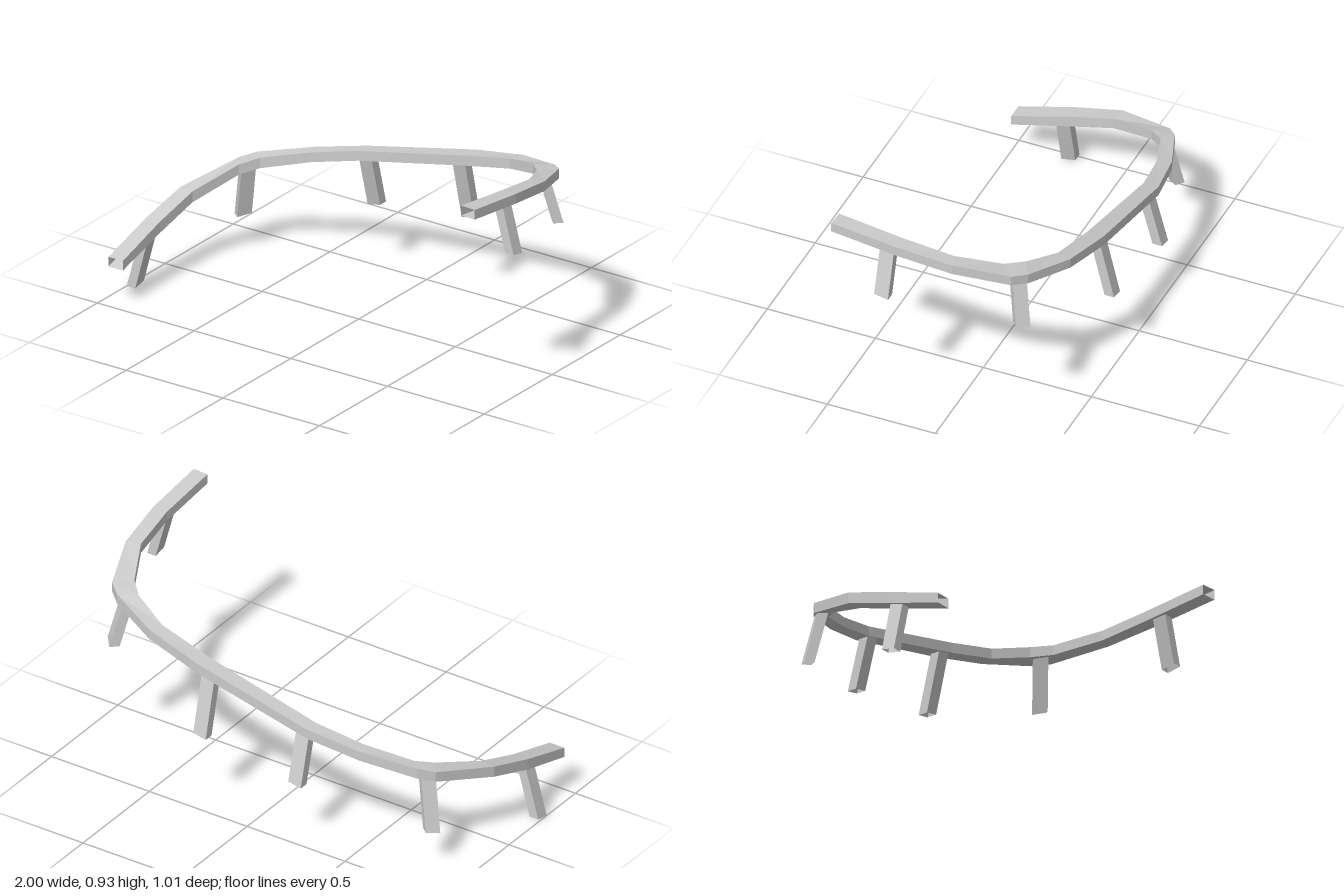
import * as THREE from 'three';

const material = new THREE.MeshStandardMaterial({ color: 0xcccccc, flatShading: true, side: THREE.DoubleSide });

// Open tube skinned through a list of four-cornered rings
function loft(name, rings) {
  const pos = [];
  for (let i = 0; i < rings.length - 1; i++) {
    for (let k = 0; k < 4; k++) {
      const n = (k + 1) % 4;
      const a = rings[i][k], b = rings[i][n], c = rings[i + 1][n], d = rings[i + 1][k];
      pos.push(...b, ...c, ...d, ...b, ...d, ...a);
    }
  }
  const geometry = new THREE.BufferGeometry();
  geometry.setAttribute('position', new THREE.Float32BufferAttribute(pos, 3));
  geometry.computeVertexNormals();
  const mesh = new THREE.Mesh(geometry, material);
  mesh.name = name;
  return mesh;
}

// Leg leaning from its foot to the rail; angle is the heading of the rail, rising by 0.2
function leg(name, foot, top, angle, width = 0.064, depth = 0.044) {
  const tx = Math.cos(angle) * width / 2, tz = Math.sin(angle) * width / 2;
  const nx = Math.sin(angle) * depth / 2, nz = -Math.cos(angle) * depth / 2;
  const ring = ([x, y, z]) => [[1, 1], [-1, 1], [-1, -1], [1, -1]].map(([s, t]) =>
    [x + s * tx + t * nx, y + s * 0.2 * width / 2, z + s * tz + t * nz]);
  return loft(name, [ring(foot), ring(top)]);
}

export function createModel() {
  const group = new THREE.Group();
  group.name = 'curvedRail';

  // Rail stations: outer x, outer z, inner x, inner z, top y, bottom y
  const stations = [
    [-0.955, 0.483, -0.88, 0.483, 0.22, 0.175],
    [-0.952, 0.21, -0.88, 0.21, 0.302, 0.25],
    [-0.93, -0.01, -0.86, 0.0, 0.37, 0.32],
    [-0.815, -0.28, -0.77, -0.215, 0.44, 0.393],
    [-0.755, -0.33, -0.71, -0.283, 0.462, 0.413],
    [-0.52, -0.42, -0.50, -0.36, 0.512, 0.467],
    [-0.28, -0.465, -0.28, -0.397, 0.562, 0.517],
    [0.28, -0.46, 0.28, -0.383, 0.69, 0.643],
    [0.55, -0.425, 0.53, -0.36, 0.748, 0.702],
    [0.78, -0.33, 0.70, -0.285, 0.797, 0.75],
    [0.84, -0.28, 0.77, -0.215, 0.812, 0.767],
    [0.93, -0.045, 0.865, -0.025, 0.862, 0.817],
    [0.955, 0.2, 0.885, 0.2, 0.9, 0.855],
    [0.953, 0.503, 0.88, 0.498, 0.935, 0.89],
  ];
  group.add(loft('rail', stations.map(([xo, zo, xi, zi, t, b]) =>
    [[xo, t, zo], [xi, t, zi], [xi, b, zi], [xo, b, zo]])));

  // Six splayed legs, from the low end to the high end
  const q = Math.PI / 4;
  group.add(
    leg('legRightFront', [-0.978, 0.007, 0.252], [-0.91, 0.262, 0.25], -2 * q),
    leg('legRightCorner', [-0.816, 0.168, -0.312], [-0.765, 0.425, -0.273], -q * 1.1),
    leg('legRightBack', [-0.248, 0.297, -0.487], [-0.248, 0.545, -0.42], 0),
    leg('legLeftBack', [0.241, 0.366, -0.482], [0.241, 0.655, -0.412], 0),
    leg('legLeftCorner', [0.808, 0.545, -0.315], [0.758, 0.78, -0.273], q * 1.1),
    leg('legLeftFront', [0.978, 0.651, 0.252], [0.915, 0.88, 0.25], 2 * q),
  );
  return group;
}
